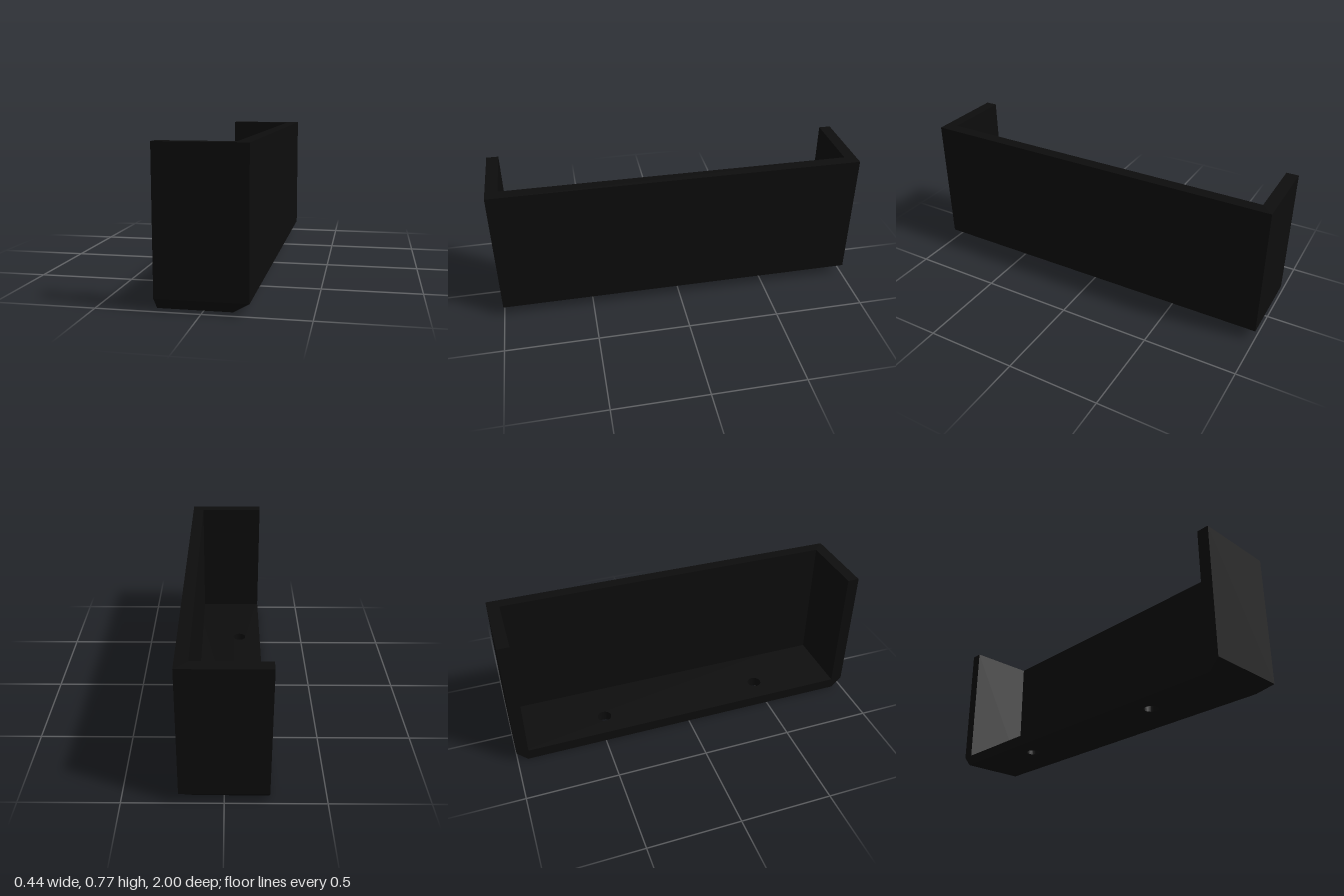
import * as THREE from 'three';

const W = 0.22, L = 1, H = 0.77;    // half width, half length, height
const WALL = 0.065, FLOOR = 0.06;   // wall and floor thickness
const BEVEL_X = 0.083, BEVEL_Z = 0.055;

// Extrudes a plan-view outline upwards, from y = bottom
function extrudeUp(shape, height, bottom) {
  const geo = new THREE.ExtrudeGeometry(shape, { depth: height, bevelEnabled: false, curveSegments: 16 });
  return geo.rotateX(-Math.PI / 2).translate(0, bottom, 0);
}

function outline(points) {
  return new THREE.Shape(points.map(([x, z]) => new THREE.Vector2(x, z)));
}

export function createModel() {
  const model = new THREE.Group();
  model.name = 'wallTray';
  const black = new THREE.MeshStandardMaterial({ color: 0x0d0d0d });
  black.name = 'black';

  // Floor slab with two screw holes
  const floorShape = outline([[-W, -L], [W, -L], [W, L], [-W, L]]);
  for (const z of [-0.473, 0.473]) {
    const hole = new THREE.Path();
    hole.absarc(-0.087, z, 0.039, 0, Math.PI * 2, true);
    floorShape.holes.push(hole);
  }
  const floorGeo = extrudeUp(floorShape, FLOOR, 0);

  // Bevel the underside along the long wall and both ends
  const pos = floorGeo.attributes.position;
  for (let i = 0; i < pos.count; i++) {
    if (pos.getY(i) > FLOOR / 2) continue;
    const x = pos.getX(i), z = pos.getZ(i);
    if (x > W - 0.001) pos.setX(i, W - BEVEL_X);
    if (Math.abs(z) > L - 0.001) pos.setZ(i, Math.sign(z) * (L - BEVEL_Z));
  }
  floorGeo.computeVertexNormals();
  const floor = new THREE.Mesh(floorGeo, black);
  floor.name = 'floor';

  // Long wall and two end walls, open towards -x
  const wallShape = outline([
    [-W, -L], [W, -L], [W, L], [-W, L],
    [-W, L - WALL], [W - WALL, L - WALL], [W - WALL, -L + WALL], [-W, -L + WALL],
  ]);
  const walls = new THREE.Mesh(extrudeUp(wallShape, H - FLOOR, FLOOR), black);
  walls.name = 'walls';

  model.add(floor, walls);
  return model;
}
